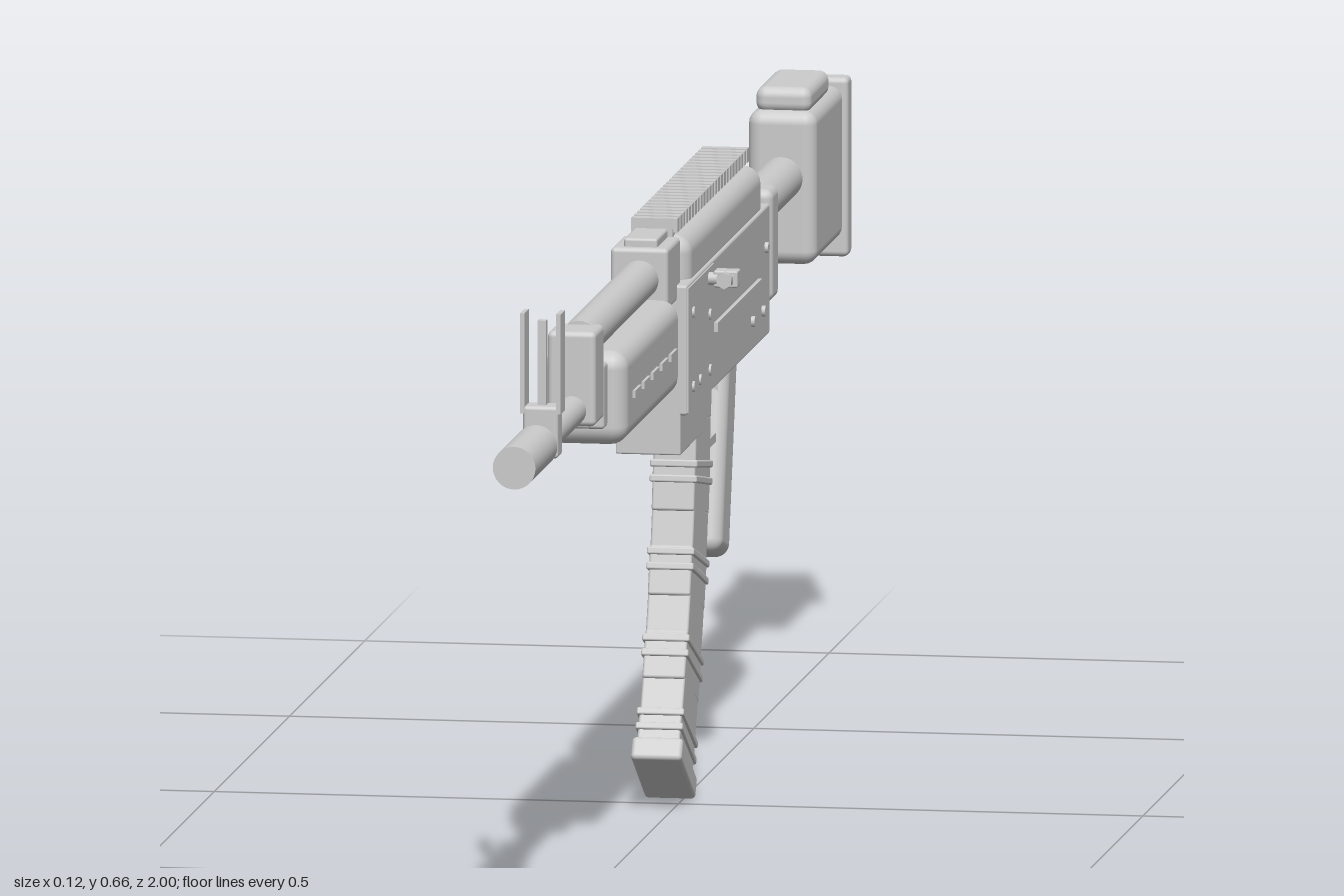
import * as THREE from 'three';
import { RoundedBoxGeometry } from 'three/addons/geometries/RoundedBoxGeometry.js';

export function createModel() {
  const root = new THREE.Group();
  root.name = 'rifle';
  const body = new THREE.Group(); // everything is symmetric about x = -0.015
  body.name = 'body';
  body.position.x = -0.015;
  root.add(body);

  const grey = new THREE.MeshStandardMaterial({ color: 0xcccccc });
  grey.name = 'light grey';

  function add(name, geometry, x, y, z, tilt = 0) {
    const mesh = new THREE.Mesh(geometry, grey);
    mesh.name = name;
    mesh.position.set(x, y, z);
    mesh.rotation.x = tilt;
    body.add(mesh);
    return mesh;
  }
  // Box given by width and its y and z ranges; r rounds the edges
  function block(name, w, y0, y1, z0, z1, r = 0, x = 0) {
    const h = y1 - y0, d = z1 - z0;
    const g = r ? new RoundedBoxGeometry(w, h, d, 3, r) : new THREE.BoxGeometry(w, h, d);
    return add(name, g, x, (y0 + y1) / 2, (z0 + z1) / 2);
  }
  // Round bar along z
  function bar(name, r, y, z0, z1) {
    const g = new THREE.CylinderGeometry(r, r, z1 - z0, 32).rotateX(Math.PI / 2);
    return add(name, g, 0, y, (z0 + z1) / 2);
  }

  // Barrel group
  bar('muzzle', 0.023, 0.53, 0.855, 1.0);
  bar('barrel', 0.016, 0.53, 0.08, 0.87);
  bar('gasTube', 0.021, 0.598, 0.12, 0.57);
  bar('barrelCollar', 0.021, 0.53, 0.1, 0.18);
  block('gasBlock', 0.052, 0.513, 0.615, 0.56, 0.62, 0.006);

  // Front sight: base, two ears and a post
  block('sightBase', 0.038, 0.512, 0.568, 0.796, 0.826, 0.004);
  for (const s of [-1, 1]) block('sightEar', 0.005, 0.56, 0.668, 0.796, 0.826, 0, s * 0.0195);
  block('sightPost', 0.009, 0.56, 0.659, 0.806, 0.816);

  // Handguard with side slots
  block('handguard', 0.09, 0.478, 0.58, 0.17, 0.535, 0.02);
  block('handguardCap', 0.05, 0.5, 0.57, 0.53, 0.556, 0.004);
  for (const s of [-1, 1]) {
    for (let i = 0; i < 5; i++) {
      const z = 0.23 + i * 0.06;
      block('handguardSlot', 0.006, 0.524, 0.532, z - 0.02, z + 0.02, 0, s * 0.045);
    }
  }

  // Rear sight block
  block('rearSightBlock', 0.062, 0.565, 0.632, 0.085, 0.17, 0.005);
  block('rearSightLeaf', 0.036, 0.628, 0.641, 0.09, 0.16, 0.003);

  // Receiver, cover and magazine well
  block('receiver', 0.084, 0.443, 0.583, -0.44, 0.11, 0.003);
  block('magazineWell', 0.07, 0.4, 0.45, -0.037, 0.11, 0.002);
  block('dustCover', 0.078, 0.565, 0.63, -0.417, 0.075, 0.02);
  block('rearBlock', 0.09, 0.475, 0.597, -0.485, -0.438, 0.01);
  block('sideRail', 0.006, 0.504, 0.514, -0.365, -0.07, 0, 0.043);

  // Front side plates and rivets on both sides
  for (const s of [-1, 1]) {
    block('sidePlate', 0.004, 0.446, 0.58, -0.06, 0.108, 0, s * 0.0415);
    for (const [z, y] of [[0.08, 0.55], [0.08, 0.47], [0.035, 0.47], [-0.03, 0.53], [-0.03, 0.47],
      [-0.32, 0.475], [-0.39, 0.475], [-0.41, 0.54]]) {
      const g = new THREE.CylinderGeometry(0.006, 0.006, 0.006, 12).rotateZ(Math.PI / 2);
      add('rivet', g, s * 0.043, y, z);
    }
  }

  // Charging handle on the left
  add('chargingHandleStem', new THREE.CylinderGeometry(0.007, 0.007, 0.05, 16).rotateZ(Math.PI / 2), 0.045, 0.569, -0.027);
  block('chargingHandleKnob', 0.026, 0.56, 0.578, -0.043, -0.022, 0.002, 0.062);
  add('chargingHandleCap', new THREE.CylinderGeometry(0.009, 0.009, 0.014, 6).rotateX(Math.PI / 2), 0.062, 0.569, -0.018);

  // Toothed top rail
  block('topRail', 0.04, 0.622, 0.637, -0.41, 0.07);
  for (let i = 0; i < 25; i++) {
    const z = 0.062 - i * 0.0193;
    block('railTooth', 0.05, 0.633, 0.648, z - 0.006, z + 0.006);
  }

  // Stock
  bar('stockTube', 0.023, 0.554, -0.79, -0.47);
  block('stock', 0.074, 0.46, 0.626, -0.966, -0.775, 0.015);
  block('cheekRest', 0.06, 0.622, 0.65, -0.915, -0.785, 0.011);
  block('buttPlate', 0.08, 0.438, 0.631, -1.0, -0.972, 0.006);
  block('buttSpacer', 0.05, 0.48, 0.6, -0.98, -0.955);

  // Curved magazine: tilted segments with ribs along a path
  const path = new THREE.QuadraticBezierCurve3(
    new THREE.Vector3(0, 0.45, -0.122),
    new THREE.Vector3(0, 0.24, -0.115),
    new THREE.Vector3(0, 0.04, 0.008));
  const along = (name, t, w, h, d, r = 0) => {
    const p = path.getPointAt(t), dir = path.getTangentAt(t);
    const g = r ? new RoundedBoxGeometry(w, h, d, 3, r) : new THREE.BoxGeometry(w, h, d);
    return add(name, g, 0, p.y, p.z, Math.atan2(dir.z, dir.y) - Math.PI);
  };
  const count = 9;
  for (let i = 0; i < count; i++) {
    along('magazineSegment', (i + 0.5) / count, 0.046, 0.054, i % 2 ? 0.097 : 0.103, 0.003);
  }
  for (const t of [0.24, 0.47, 0.7, 0.9]) {
    along('magazineBand', t - 0.02, 0.051, 0.008, 0.108, 0.002);
    along('magazineBand', t + 0.02, 0.051, 0.008, 0.108, 0.002);
  }
  along('magazineBase', 0.985, 0.055, 0.026, 0.115, 0.005);

  // Grip, trigger and guard
  add('grip', new RoundedBoxGeometry(0.05, 0.235, 0.07, 4, 0.015), 0, 0.347, -0.281, -0.26);
  add('trigger', new THREE.BoxGeometry(0.012, 0.075, 0.012), 0, 0.412, -0.183, 0.15);
  block('guardBar', 0.03, 0.356, 0.366, -0.27, -0.15);
  block('guardPost', 0.03, 0.356, 0.45, -0.27, -0.262);

  return root;
}
